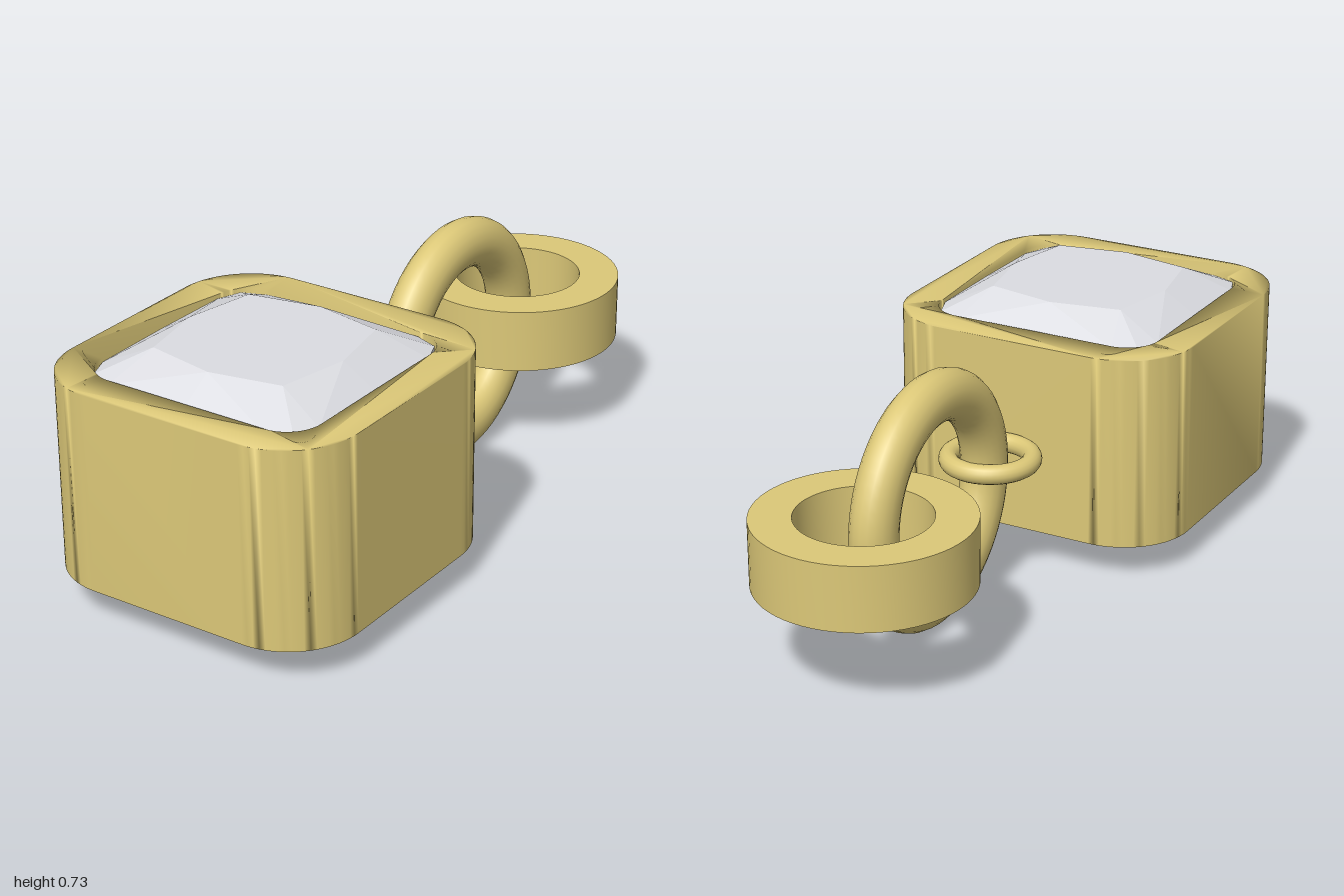
import * as THREE from 'three';
import { mergeVertices, toCreasedNormals } from 'three/addons/utils/BufferGeometryUtils.js';
import { ConvexGeometry } from 'three/addons/geometries/ConvexGeometry.js';

const gold = new THREE.MeshStandardMaterial({ color: 0xdcc878 });
const gem = new THREE.MeshStandardMaterial({ color: 0xdcdde2, flatShading: true });

function part(group, name, geometry, material, x, y, z) {
  const mesh = new THREE.Mesh(geometry, material);
  mesh.name = name;
  mesh.position.set(x, y, z);
  group.add(mesh);
  return mesh;
}

// Square outline with rounded corners, half-width h and corner radius r
function roundedSquare(ShapeType, h, r) {
  const s = new ShapeType();
  const c = h - r;
  s.absarc(c, c, r, 0, Math.PI / 2);
  s.absarc(-c, c, r, Math.PI / 2, Math.PI);
  s.absarc(-c, -c, r, Math.PI, Math.PI * 1.5);
  s.absarc(c, -c, r, Math.PI * 1.5, Math.PI * 2);
  s.closePath();
  return s;
}

// Open square frame with softly averaged normals
function frameGeometry() {
  const shape = roundedSquare(THREE.Shape, 0.45, 0.21);
  shape.holes.push(roundedSquare(THREE.Path, 0.345, 0.1));
  let g = new THREE.ExtrudeGeometry(shape, { depth: 0.563, bevelEnabled: false, curveSegments: 10 });
  g.rotateX(-Math.PI / 2);
  g.deleteAttribute('normal');
  g.deleteAttribute('uv');
  g = mergeVertices(g, 1e-4);
  g.computeVertexNormals();
  return g;
}

// Cushion-cut stone: table, girdle, pavilion break and culet
function stoneGeometry() {
  const points = [new THREE.Vector3(0, 0.19, 0)];
  const ring = (y, mid, corner) => {
    for (let i = 0; i < 8; i++) {
      const a = (i * Math.PI) / 4;
      const r = i % 2 ? corner * Math.SQRT2 : mid;
      points.push(new THREE.Vector3(r * Math.cos(a), y, r * Math.sin(a)));
    }
  };
  ring(0.717, 0.245, 0.205);
  ring(0.42, 0.2, 0.17);
  for (const y of [0.655, 0.62]) {
    ring(y, 0.347, 0.316);
    for (const sx of [-1, 1]) for (const sz of [-1, 1]) {
      points.push(new THREE.Vector3(sx * 0.343, y, sz * 0.245));
      points.push(new THREE.Vector3(sx * 0.245, y, sz * 0.343));
    }
  }
  return new ConvexGeometry(points);
}

export function createModel() {
  const model = new THREE.Group();
  model.name = 'gemPendant';

  // Setting with its stone and the flat bar across the underside
  part(model, 'settingFrame', frameGeometry(), gold, 0, 0.102, 0.55);
  part(model, 'stone', stoneGeometry(), gem, 0, 0, 0.555);
  part(model, 'backBar', new THREE.BoxGeometry(0.3, 0.02, 0.75), gold, 0, 0.15, 0.55);

  // Small horizontal loop fixed to the back of the frame
  const loop = new THREE.TorusGeometry(0.117, 0.028, 16, 48).rotateX(Math.PI / 2);
  part(model, 'smallLoop', loop, gold, 0, 0.367, -0.035);

  // Upright connecting link, slightly narrower across
  const link = new THREE.TorusGeometry(0.292, 0.073, 20, 64).rotateY(Math.PI / 2).scale(0.88, 1, 1);
  part(model, 'connectingLink', link, gold, 0, 0.366, -0.361);

  // Flat end ring with square section
  const profile = [[0.185, -0.0925], [0.3, -0.0925], [0.3, 0.0925], [0.185, 0.0925], [0.185, -0.0925]]
    .map(([r, y]) => new THREE.Vector2(r, y));
  const endRing = toCreasedNormals(new THREE.LatheGeometry(profile, 64), 0.6);
  part(model, 'endRing', endRing, gold, 0, 0.367, -0.7);

  return model;
}
